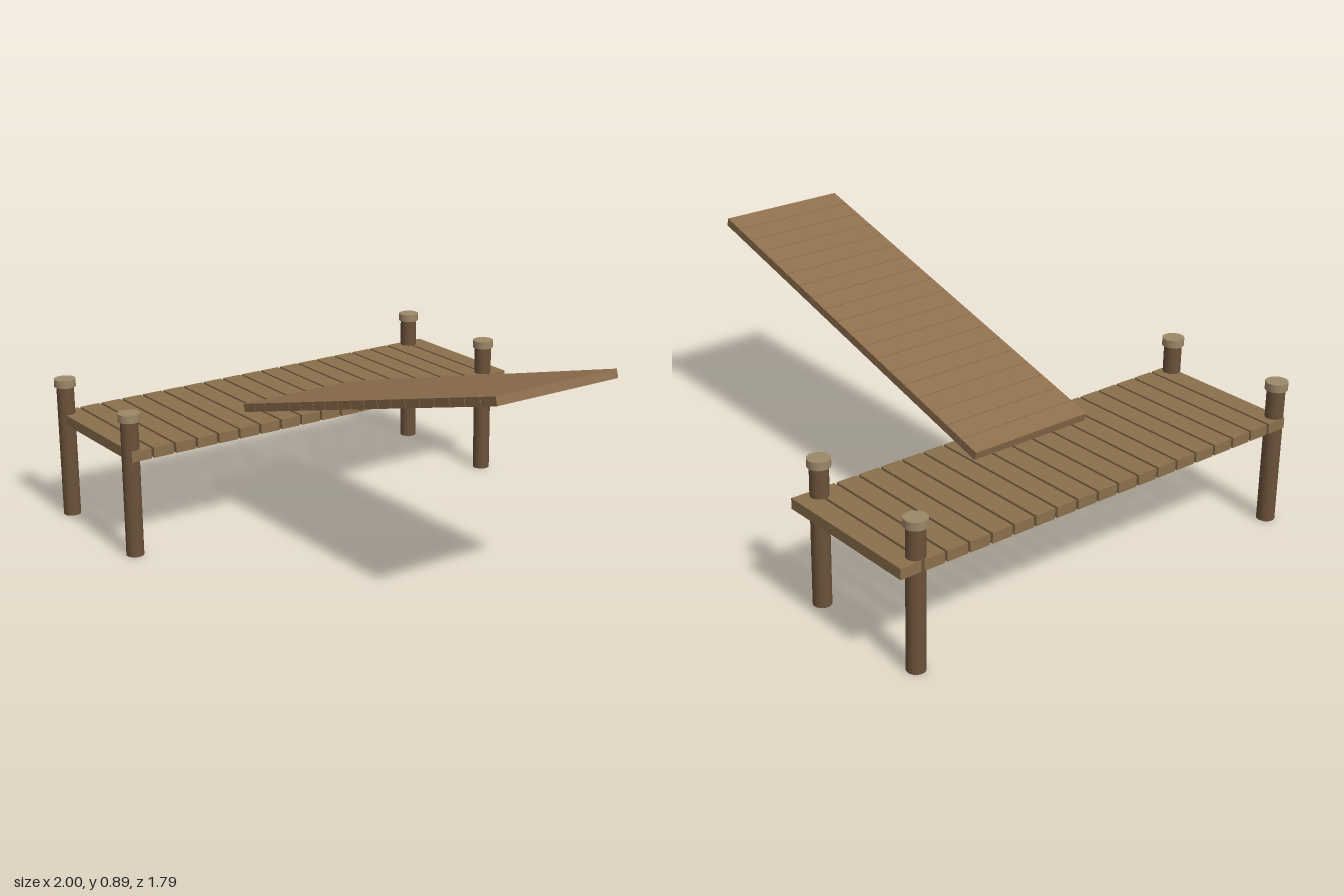
import * as THREE from 'three';

const paint = (color) => new THREE.MeshStandardMaterial({ color });

export function createModel() {
  const model = new THREE.Group();
  const deckWood = paint(0x8b704c);
  const rampWood = paint(0x8f704e);
  const postWood = paint(0x6b523a);
  const capWood = paint(0x9c8868);

  const add = (parent, name, geometry, material, x, y, z) => {
    const mesh = new THREE.Mesh(geometry, material);
    mesh.name = name;
    mesh.position.set(x, y, z);
    parent.add(mesh);
  };

  // Level deck: separate planks laid along z
  const deck = new THREE.Group();
  deck.name = 'deck';
  const deckPlank = new THREE.BoxGeometry(0.6, 0.04, 0.083);
  for (let i = 0; i < 19; i++) {
    add(deck, 'deckPlank', deckPlank, deckWood, -0.694, 0.4, -0.858 + i * 0.0935);
  }
  model.add(deck);

  // Corner posts with wider caps
  const postGeometry = new THREE.CylinderGeometry(0.034, 0.034, 0.53, 20);
  const capGeometry = new THREE.CylinderGeometry(0.042, 0.042, 0.03, 20);
  for (const x of [-0.958, -0.434]) {
    for (const z of [-0.812, 0.85]) {
      const post = new THREE.Group();
      post.name = 'cornerPost';
      post.position.set(x, 0, z);
      add(post, 'post', postGeometry, postWood, 0, 0.265, 0);
      add(post, 'postCap', capGeometry, capWood, 0, 0.545, 0);
      model.add(post);
    }
  }

  // Sloping ramp: closely laid planks rising toward +x
  const ramp = new THREE.Group();
  ramp.name = 'ramp';
  ramp.position.set(0.216, 0.654, 0.02);
  ramp.rotation.z = Math.atan2(0.435, 1.55);
  const pitch = 0.085;
  const rampPlank = new THREE.BoxGeometry(0.083, 0.032, 0.52);
  for (let i = 0; i < 19; i++) {
    add(ramp, 'rampPlank', rampPlank, rampWood, (i - 9) * pitch, 0, 0);
  }
  model.add(ramp);

  return model;
}
